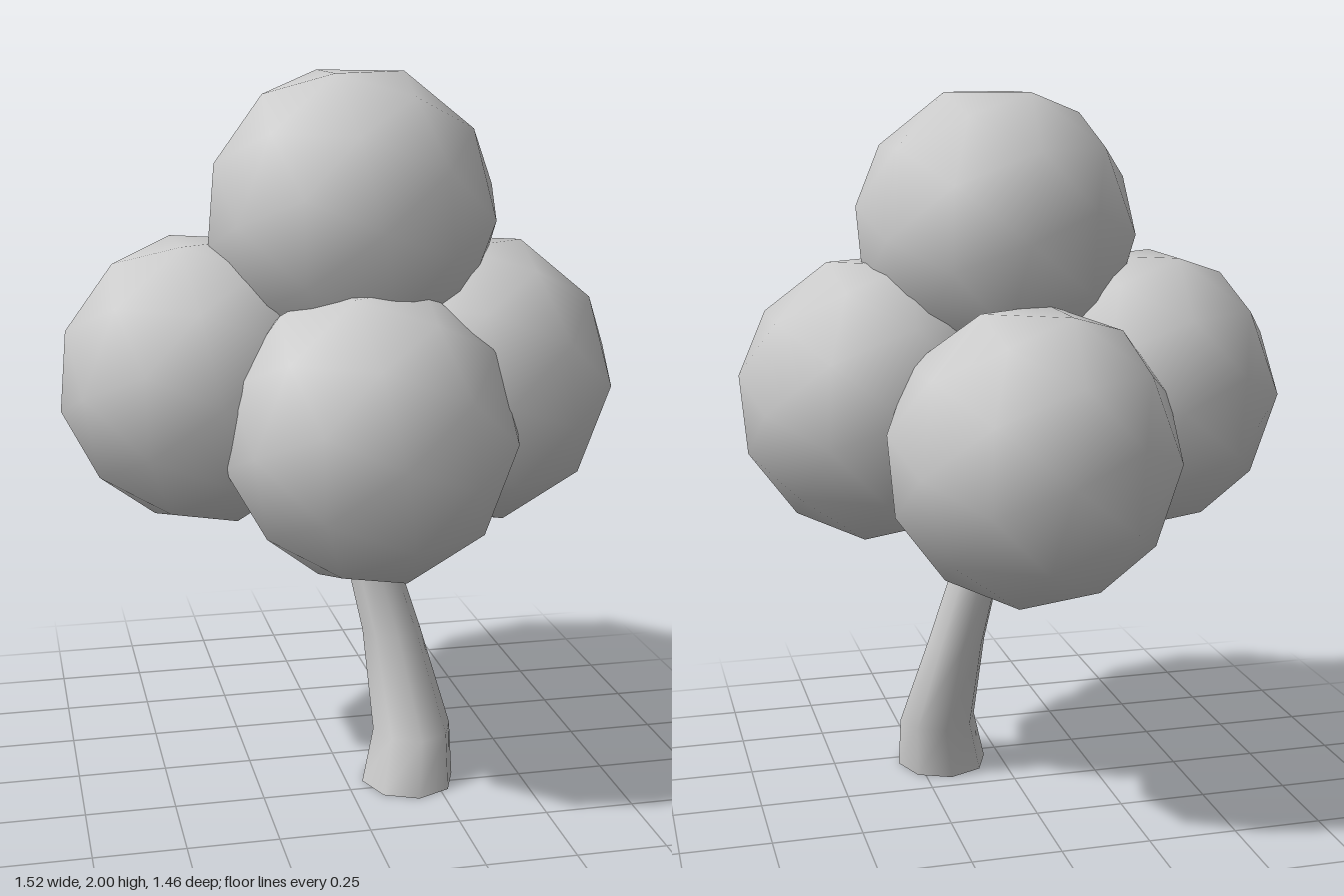
import * as THREE from 'three';
import { mergeVertices, toCreasedNormals } from 'three/addons/utils/BufferGeometryUtils.js';

const material = new THREE.MeshStandardMaterial({ color: 0xcccccc });

// Low-poly ball with smooth normals, turned so that a facet lies flat on top
function makeBall() {
  const t = (1 + Math.sqrt(5)) / 2;
  const up = new THREE.Vector3(1, 1, 1).normalize();
  const z = new THREE.Vector3(1 / t, -t, 1).normalize();
  const x = new THREE.Vector3().crossVectors(up, z);
  const ball = new THREE.IcosahedronGeometry(0.402, 1);
  ball.applyMatrix4(new THREE.Matrix4().makeBasis(x, up, z).transpose());
  ball.scale(1, 1.02, 1);
  return ball;
}

// Bent, tapering trunk: each ring is [y, centre x, centre z, x radius, z radius]
function makeTrunk() {
  const rings = [
    [1.0, 0.03, 0.04, 0.06, 0.06],
    [0.7, 0.08, 0.07, 0.07, 0.072],
    [0.42, 0.155, 0.088, 0.085, 0.088],
    [0.15, 0.195, 0.178, 0.113, 0.122],
    [0, 0.178, 0.202, 0.133, 0.143],
  ];
  const spans = rings.length - 1;
  let geometry = new THREE.CylinderGeometry(1, 1, 1, 8, spans);
  const p = geometry.attributes.position;
  for (let i = 0; i < p.count; i++) {
    const [y, cx, cz, rx, rz] = rings[Math.round((0.5 - p.getY(i)) * spans)];
    p.setXYZ(i, cx + p.getX(i) * rx, y, cz + p.getZ(i) * rz);
  }
  geometry.deleteAttribute('uv');
  geometry.deleteAttribute('normal');
  geometry = mergeVertices(geometry);
  return toCreasedNormals(geometry, Math.PI / 3);
}

export function createModel() {
  const tree = new THREE.Group();
  tree.name = 'tree';

  const trunk = new THREE.Mesh(makeTrunk(), material);
  trunk.name = 'trunk';
  tree.add(trunk);

  // Five overlapping balls of foliage
  const foliage = new THREE.Group();
  foliage.name = 'foliage';
  const ball = makeBall();
  const clumps = {
    topFoliage: [0.035, 1.616, 0.085],
    rightFoliage: [-0.367, 1.165, 0.005],
    leftFoliage: [0.367, 1.157, 0.105],
    frontFoliage: [0.035, 1.064, 0.328],
    backFoliage: [0.035, 1.06, -0.33],
  };
  for (const [name, position] of Object.entries(clumps)) {
    const clump = new THREE.Mesh(ball, material);
    clump.name = name;
    clump.position.set(...position);
    foliage.add(clump);
  }
  tree.add(foliage);
  return tree;
}
